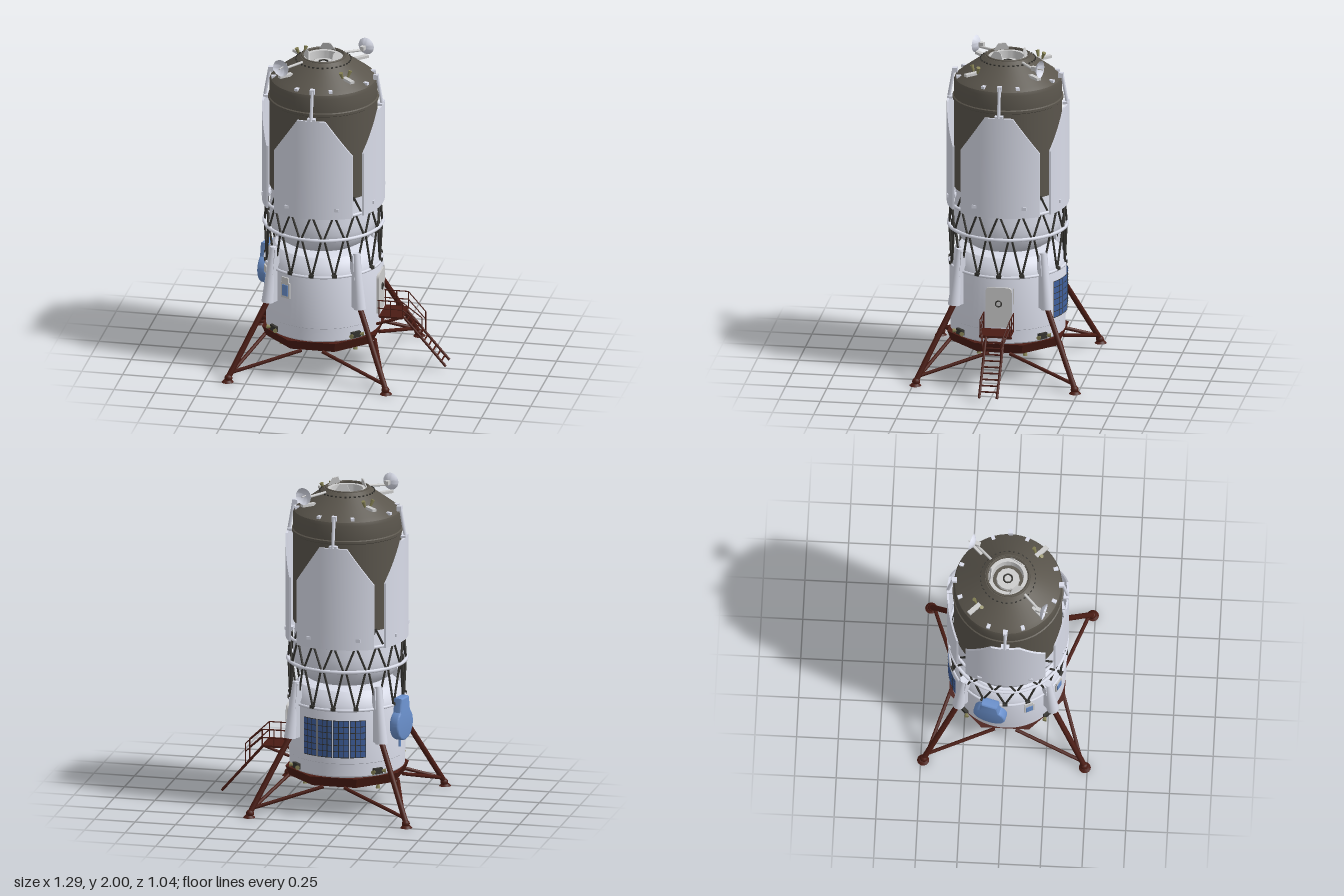
import * as THREE from 'three';
import { toCreasedNormals, mergeGeometries } from 'three/addons/utils/BufferGeometryUtils.js';

const mat = (color) => new THREE.MeshStandardMaterial({ color, side: THREE.DoubleSide });
const V = (x, y, z) => new THREE.Vector3(x, y, z);
const polar = (a, r, y) => V(Math.sin(a) * r, y, Math.cos(a) * r);
const Q = Math.PI / 2, RAD = Math.PI / 180;

export function createModel() {
  const white = mat(0xd8dbe8), grey = mat(0xcccccc), dark = mat(0x5a554c), black = mat(0x34332f);
  const red = mat(0x4a1c14), blue = mat(0x6a90cc), cell = mat(0x3f5f9c), brass = mat(0x8a8658);

  const model = new THREE.Group();
  model.name = 'lander';
  const body = new THREE.Group();
  body.name = 'vehicle';
  body.position.x = -0.125;
  model.add(body);

  const add = (name, geo, m, parent = body) => {
    const mesh = new THREE.Mesh(geo, m);
    mesh.name = name;
    parent.add(mesh);
    return mesh;
  };
  // Group whose +z points outward at angle a
  const facing = (name, a, parent = body) => {
    const g = new THREE.Group();
    g.name = name;
    g.rotation.y = a;
    parent.add(g);
    return g;
  };
  const box = (w, h, d, x, y, z) => new THREE.BoxGeometry(w, h, d).translate(x, y, z);
  const rodGeo = (a, b, r, r2 = r, n = 10) => {
    const d = b.clone().sub(a);
    return new THREE.CylinderGeometry(r2, r, d.length(), n)
      .applyQuaternion(new THREE.Quaternion().setFromUnitVectors(V(0, 1, 0), d.normalize()))
      .translate((a.x + b.x) / 2, (a.y + b.y) / 2, (a.z + b.z) / 2);
  };
  const rods = (name, list, r, m, parent) =>
    add(name, mergeGeometries(list.map(([a, b]) => rodGeo(a, b, r))), m, parent);
  const lathe = (name, pts, m, parent) => add(name, toCreasedNormals(
    new THREE.LatheGeometry(pts.map(p => new THREE.Vector2(...p)), 64), 0.5), m, parent);
  const ring = (name, r, y, t, m) =>
    add(name, new THREE.TorusGeometry(r, t, 8, 72).rotateX(Q).translate(0, y, 0), m);
  // Curved plate on the hull: radius, angle span, height range
  const arcPlate = (r, a0, span, y0, y1) =>
    new THREE.CylinderGeometry(r, r, y1 - y0, 16, 1, true, a0, span).translate(0, (y0 + y1) / 2, 0);

  // Hull sections
  lathe('upperShell', [[0.3, 1.14], [0.325, 1.14], [0.325, 1.685], [0.332, 1.69], [0.332, 1.705], [0.325, 1.71],
    [0.325, 1.8], [0.318, 1.82], [0.295, 1.84], [0.165, 1.935], [0.138, 1.957], [0.118, 1.957], [0.115, 1.9]], dark);
  lathe('upperTank', [[0.31, 1.16], [0.318, 1.04], [0.325, 0.97], [0.325, 0.92], [0.315, 0.87],
    [0.285, 0.82], [0.23, 0.785], [0.13, 0.765], [0, 0.76]], white);
  lathe('lowerTank', [[0, 0.775], [0.25, 0.772], [0.29, 0.763], [0.32, 0.735], [0.34, 0.69], [0.35, 0.66],
    [0.35, 0.33], [0.346, 0.327], [0.346, 0.25], [0.33, 0.235], [0, 0.235]], white);
  ring('middleRing', 0.356, 0.9, 0.011, white);
  ring('upperRing', 0.35, 1.045, 0.01, white);
  ring('lowerRing', 0.35, 0.66, 0.009, white);

  // Docking port: recessed collar, hatch, guide petals, bolts
  lathe('dockingCollar', [[0.118, 1.95], [0.095, 1.95], [0.09, 1.9], [0.117, 1.895]], grey);
  add('portFloor', new THREE.CylinderGeometry(0.117, 0.117, 0.01, 48).translate(0, 1.89, 0), dark);
  add('hatch', new THREE.CylinderGeometry(0.068, 0.072, 0.02, 12).translate(0, 1.903, 0), grey);
  add('hatchWheel', new THREE.TorusGeometry(0.026, 0.005, 8, 24).rotateX(Q).translate(0, 1.917, 0), black);
  ring('portRim', 0.128, 1.958, 0.006, dark);
  for (let i = 0; i < 3; i++) {
    const p = facing('guidePetal', (60 + i * 120) * RAD);
    const s = new THREE.Shape([[-0.05, 0], [0.05, 0], [0.022, 0.045], [-0.022, 0.045]].map(q => new THREE.Vector2(...q)));
    add('petal', new THREE.ExtrudeGeometry(s, { depth: 0.006, bevelEnabled: false })
      .rotateX(-0.25).translate(0, 1.955, 0.106), grey, p);
  }
  for (let i = 0; i < 36; i++)
    add('rimBolt', box(0.012, 0.008, 0.006, 0, 1.937, 0.165), black, facing('rimBoltMount', i * 10 * RAD));

  // Four curved shield panels with hinge arms
  for (let i = 0; i < 4; i++) {
    const g = facing('shieldPanelAssembly', i * Q);
    const geo = new THREE.BoxGeometry(0.48, 1, 0.012, 28, 1, 1), p = geo.attributes.position;
    for (let k = 0; k < p.count; k++) {
      const x = p.getX(k), top = 1.67 - 0.23 * Math.max(0, (Math.abs(x) - 0.085) / 0.155);
      p.setXYZ(k, x, p.getY(k) > 0 ? top : 1.04, Math.sqrt(0.46 ** 2 - x * x) - 0.1 + p.getZ(k));
    }
    add('shieldPanel', toCreasedNormals(geo, 0.5), white, g);
    add('hingeArm', rodGeo(V(0, 1.67, 0.36), V(0, 1.855, 0.328), 0.01), white, g);
    add('hingeBase', box(0.05, 0.015, 0.03, 0, 1.675, 0.35), white, g);
    add('hingeHead', box(0.028, 0.03, 0.03, 0, 1.845, 0.322), white, g);
    for (const s of [-1, 1]) {
      add('shellBracket', box(0.022, 0.016, 0.03, 0, 1.838, 0.3), white, facing('bracketMount', s * 20 * RAD, g));
      add('panelStandoff', box(0.05, 0.02, 0.05, s * 0.14, 1.1, 0.32), white, g);
    }
  }

  // Truss: two zigzag tiers and ring clips
  const upper = [], lower = [], N = 16;
  for (let i = 0; i < N; i++) {
    const a = (i + 0.5) * 2 * Math.PI / N, h = Math.PI / N;
    for (const s of [-1, 1]) {
      upper.push([polar(a + s * 0.02, 0.352, 0.905), polar(a + s * h * 0.95, 0.345, 1.05)]);
      lower.push([polar(a + s * 0.03, 0.352, 0.895), polar(a + s * h * 0.95, 0.345, 0.67)]);
    }
    add('ringClip', box(0.03, 0.018, 0.016, 0, 0.667, 0.352), black, facing('clipMount', a + h));
  }
  for (let i = 0; i < 4; i++) for (const s of [-1, 1])
    upper.push([polar(i * Q + Q / 2 + s * 0.16, 0.34, 1.04), polar(i * Q + Q / 2, 0.332, 1.15)]);
  rods('upperTruss', upper, 0.0065, black);
  rods('lowerTruss', lower, 0.0065, black);

  // Red octagonal thrust structure, base plate and engines
  add('thrustFrame', toCreasedNormals(new THREE.CylinderGeometry(0.375, 0.35, 0.06, 8, 1, false, Math.PI / 8)
    .translate(0, 0.21, 0), 0.3), red);
  add('basePlate', new THREE.CylinderGeometry(0.27, 0.27, 0.01, 48).translate(0, 0.177, 0), dark);
  for (let i = 0; i < 3; i++) {
    const c = polar(i * 120 * RAD, 0.066, 0);
    const e = lathe('engineNozzle', [[0.025, 0.19], [0.042, 0.175], [0.054, 0.158], [0.049, 0.158], [0.03, 0.172], [0, 0.172]], grey);
    e.position.copy(c);
  }
  for (const x of [-0.225, 0.225]) for (const z of [-0.14, 0.14]) {
    add('smallThruster', new THREE.CylinderGeometry(0.007, 0.014, 0.03, 12).translate(x, 0.152, z), brass);
    add('thrusterStem', box(0.025, 0.02, 0.025, x, 0.172, z), brass);
  }

  // Landing legs on the diagonals
  for (let i = 0; i < 4; i++) {
    const g = facing('landingLeg', i * Q + Q / 2);
    add('mainStrut', rodGeo(V(0, 0.02, 0.686), V(0, 0.5, 0.375), 0.017), red, g);
    add('footPad', new THREE.CylinderGeometry(0.022, 0.036, 0.014, 28).translate(0, 0.007, 0.686), red, g);
    add('ankle', new THREE.SphereGeometry(0.024, 14, 10).translate(0, 0.024, 0.68), red, g);
    for (const s of [-1, 1])
      add('sideStrut', rodGeo(V(0, 0.055, 0.655), polar(s * 34 * RAD, 0.335, 0.178), 0.011), red, g);
    add('legHousing', rodGeo(V(0, 0.455, 0.4), V(0, 0.8, 0.358), 0.037, 0.02, 24), white, g);
    const fin = new THREE.Shape([[0.33, 0.46], [0.4, 0.45], [0.365, 0.79], [0.335, 0.79]].map(q => new THREE.Vector2(...q)));
    add('legFairing', new THREE.ExtrudeGeometry(fin, { depth: 0.056, bevelEnabled: false })
      .translate(0, 0, -0.028).rotateY(-Q), white, g);
    // Attitude thruster cluster beside each leg foot
    add('thrusterBlock', box(0.06, 0.035, 0.025, 0, 0.275, 0.352), black, g);
    for (const s of [-1, 1])
      add('thrusterNozzle', rodGeo(V(s * 0.025, 0.275, 0.36), V(s * 0.045, 0.275, 0.375), 0.006, 0.014), brass, g);
    add('shoulderMount', box(0.028, 0.016, 0.09, 0, 1.873, 0.272).translate(0, 0.012, 0), grey, g);
  }

  // Two dish antennas on radial booms, thrusters on the other diagonals
  for (const [a, flip] of [[-Q / 2, 0], [Q * 1.5, Math.PI]]) {
    const g = new THREE.Group();
    g.name = 'dishAntenna';
    add('boom', rodGeo(polar(a, 0.15, 1.945), polar(a, 0.285, 1.93), 0.008), grey);
    const dish = lathe('dish', [[0, 0], [0.025, 0.005], [0.043, 0.016], [0.052, 0.027]], white, g);
    dish.rotation.x = Q;
    add('feedHorn', rodGeo(V(0, 0, 0), V(0, 0, 0.045), 0.004), grey, g);
    add('dishHub', box(0.025, 0.025, 0.03, 0, 0, -0.015), grey, g);
    g.position.copy(polar(a, 0.29, 1.945));
    g.rotation.y = flip - 0.3;
    body.add(g);
  }
  for (const a of [Q / 2, -1.5 * Q]) for (const s of [-1, 1])
    add('topThruster', rodGeo(polar(a + s * 0.08, 0.24, 1.89), polar(a + s * 0.14, 0.245, 1.93), 0.006, 0.012), brass);

  // Windows
  for (const a of [-28, -66]) {
    const g = facing('window', a * RAD);
    add('windowFrame', box(0.064, 0.1, 0.02, 0, 0.55, 0.347), grey, g);
    add('windowPane', box(0.044, 0.07, 0.006, 0, 0.55, 0.358), blue, g);
    add('windowHood', box(0.05, 0.04, 0.02, -0.004, 0.612, 0.348), grey, g);
  }

  // Solar array wrapped on the back
  for (let i = 0; i < 4; i++) {
    const a0 = Math.PI + (-32 + i * 16.2) * RAD, w = 15 * RAD;
    add('solarPanel', arcPlate(0.36, a0, w, 0.37, 0.6), cell);
    for (let k = 0; k < 7; k++)
      add('solarGridLine', arcPlate(0.362, a0, w, 0.369 + k * 0.038, 0.373 + k * 0.038), black);
    for (let k = 0; k < 4; k++)
      add('solarDivider', arcPlate(0.362, a0 + k * w / 3.04, 0.01, 0.37, 0.6), black);
  }

  // Blue teardrop radiator on the -x side
  const radiator = facing('radiator', -(90 + 14) * RAD);
  const drop = new THREE.Shape();
  drop.absarc(0, 0.535, 0.09, 125 * RAD, 415 * RAD, false);
  drop.lineTo(0.04, 0.69);
  drop.lineTo(-0.04, 0.69);
  add('radiatorBody', toCreasedNormals(new THREE.ExtrudeGeometry(drop,
    { depth: 0.035, bevelSize: 0.01, bevelThickness: 0.012, bevelSegments: 3, curveSegments: 28 }), 0.6)
    .translate(0, 0, 0.35), blue, radiator);
  add('radiatorDrain', rodGeo(V(0, 0.39, 0.355), V(0, 0.46, 0.355), 0.008), blue, radiator);

  // Entry door facing +x
  const entry = facing('entry', Q);
  const door = new THREE.Shape();
  door.moveTo(-0.08, 0.35).lineTo(0.08, 0.35).lineTo(0.08, 0.57).quadraticCurveTo(0.08, 0.6, 0.05, 0.6)
    .lineTo(-0.05, 0.6).quadraticCurveTo(-0.08, 0.6, -0.08, 0.57);
  add('door', new THREE.ExtrudeGeometry(door, { depth: 0.025, bevelEnabled: false }).translate(0, 0, 0.333), grey, entry);
  add('doorWheel', new THREE.TorusGeometry(0.018, 0.004, 8, 20).translate(0, 0.5, 0.362), black, entry);
  add('grabHandle', rodGeo(V(0.09, 0.5, 0.355), V(0.09, 0.6, 0.352), 0.004), grey, entry);

  // Platform, railings and ladder (local +z is outward)
  add('platform', box(0.19, 0.012, 0.145, 0, 0.337, 0.432), red, entry);
  const rails = [], braces = [], ladder = [];
  for (const s of [-1, 1]) {
    const x = s * 0.09, l = s * 0.054;
    rails.push([V(x, 0.44, 0.35), V(x, 0.44, 0.502)], [V(x, 0.39, 0.35), V(x, 0.39, 0.502)]);
    for (const z of [0.36, 0.43, 0.502]) rails.push([V(x, 0.335, z), V(x, 0.44, z)]);
    rails.push([V(x, 0.44, 0.502), V(l, 0.335, 0.615)], [V(l, 0.335, 0.615), V(l, 0.2, 0.615)],
      [V(x, 0.39, 0.502), V(l, 0.285, 0.615)]);
    braces.push([V(s * 0.07, 0.28, 0.34), V(s * 0.07, 0.332, 0.49)]);
    ladder.push([V(l, 0.34, 0.495), V(l, 0.035, 0.76)]);
  }
  rods('railing', rails, 0.0035, red, entry);
  rods('platformBrace', braces, 0.009, red, entry);
  rods('ladderStringer', ladder, 0.008, red, entry);
  const rungs = [];
  for (let i = 1; i < 10; i++) {
    const t = i / 10, y = 0.34 - 0.305 * t, z = 0.495 + 0.265 * t;
    rungs.push([V(-0.054, y, z), V(0.054, y, z)]);
  }
  rods('ladderRung', rungs, 0.005, red, entry);
  return model;
}
